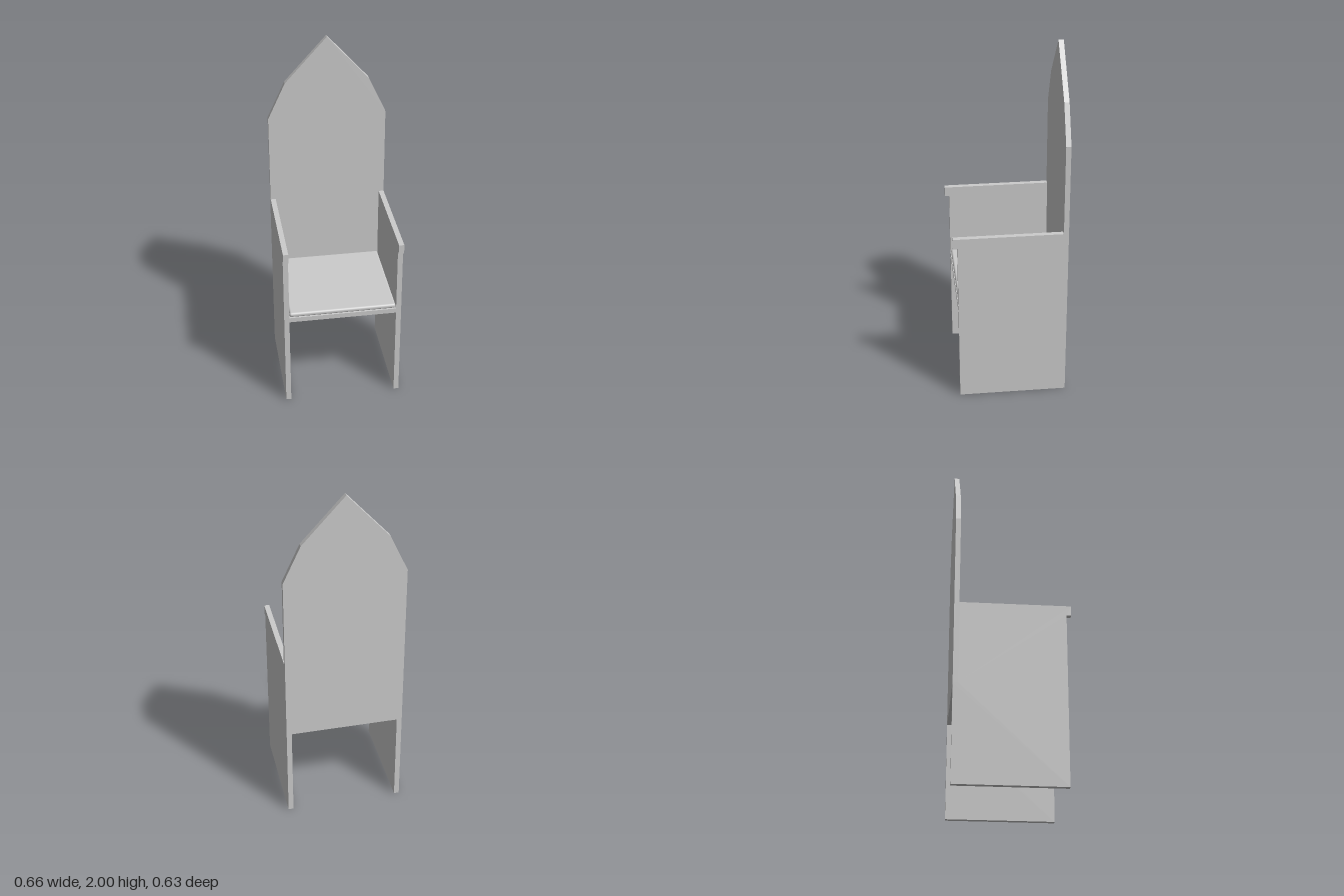
import * as THREE from 'three';
import { RoundedBoxGeometry } from 'three/addons/geometries/RoundedBoxGeometry.js';

const HALF = 0.332, INNER = 0.303;      // outer and inner half width
const REAR = -0.315, BACK_FRONT = -0.287;
const SEAT_BOTTOM = 0.55, ARM_TOP = 1.015;

export function createModel() {
  const group = new THREE.Group();
  const material = new THREE.MeshStandardMaterial({ color: 0xcccccc });

  const add = (name, geometry, x = 0, y = 0, z = 0) => {
    const mesh = new THREE.Mesh(geometry, material);
    mesh.name = name;
    mesh.position.set(x, y, z);
    group.add(mesh);
  };
  const extrude = (points, depth) => new THREE.ExtrudeGeometry(
    new THREE.Shape(points.map(([x, y]) => new THREE.Vector2(x, y))),
    { depth, bevelEnabled: false });

  // Tall backrest with a faceted pointed top
  add('backrest', extrude([
    [-HALF, SEAT_BOTTOM], [HALF, SEAT_BOTTOM], [HALF, 1.53], [0.235, 1.74],
    [0, 2], [-0.235, 1.74], [-HALF, 1.53],
  ], BACK_FRONT - REAR), 0, 0, REAR);

  // Side panels: leg, side wall and armrest lip in one profile of (z, y)
  const sideProfile = [
    [REAR, 0], [0.29, 0], [0.29, 0.96], [0.315, 0.96], [0.315, ARM_TOP],
    [BACK_FRONT, ARM_TOP], [BACK_FRONT, SEAT_BOTTOM], [REAR, SEAT_BOTTOM],
  ];
  for (const [name, x] of [['leftSide', INNER], ['rightSide', -HALF]]) {
    const side = extrude(sideProfile.map(([z, y]) => [-z, y]), HALF - INNER);
    side.rotateY(Math.PI / 2);
    add(name, side, x);
  }

  // Seat board and softly rounded cushion
  add('seatBoard', new THREE.BoxGeometry(2 * INNER, 0.028, 0.577), 0, SEAT_BOTTOM + 0.014, 0.0015);
  add('cushion', new RoundedBoxGeometry(0.602, 0.027, 0.572, 4, 0.012), 0, 0.5915, 0.001);

  return group;
}
